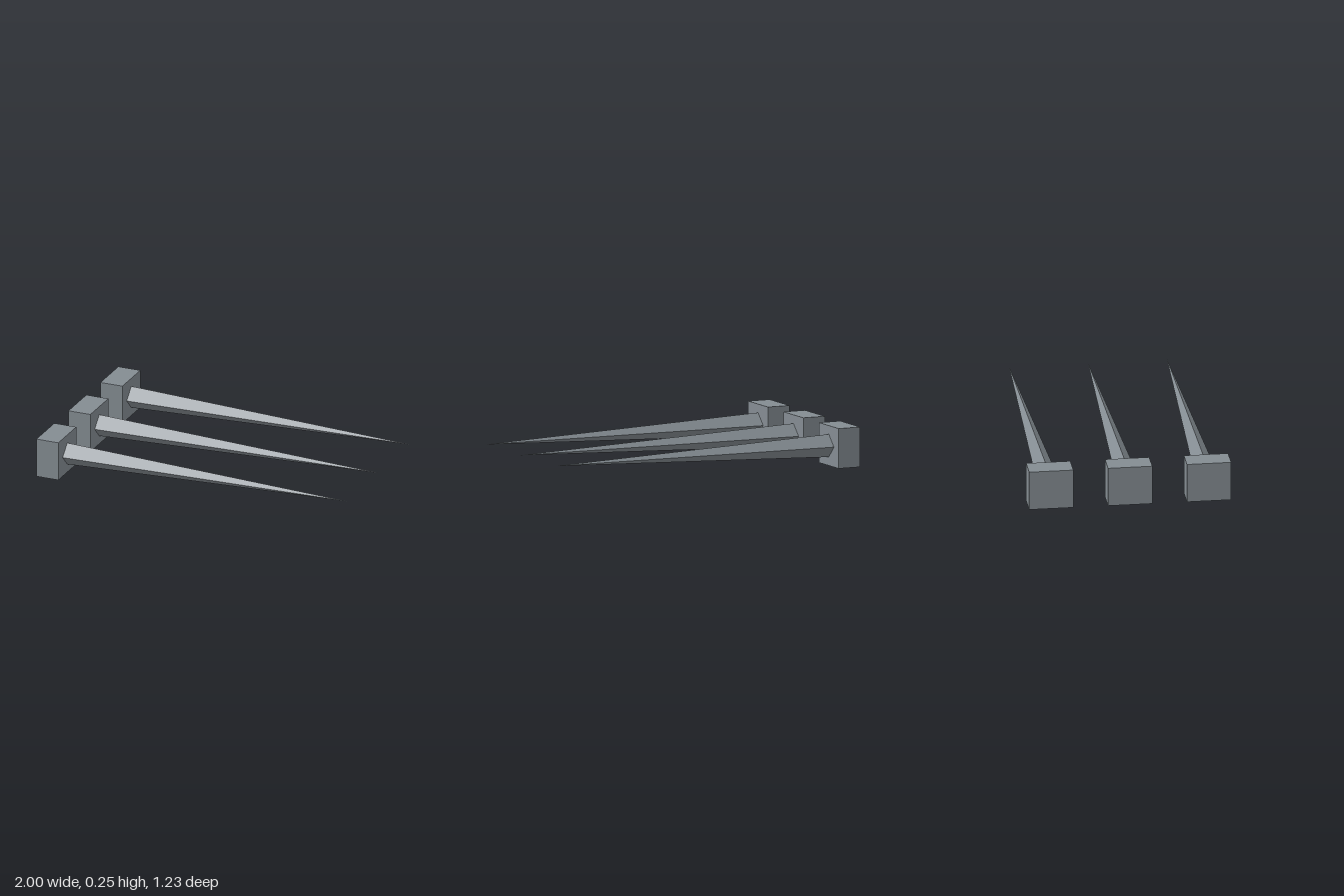
import * as THREE from 'three';

export function createModel() {
  const model = new THREE.Group();
  const steel = new THREE.MeshStandardMaterial({ color: 0x848c92, flatShading: true });
  steel.name = 'grey steel';

  const left = -1, face = -0.855, tip = 1, height = 0.245, width = 0.27;

  // mounting block
  const blockGeometry = new THREE.BoxGeometry(face - left, height, width);
  blockGeometry.translate((left + face) / 2, height / 2, 0);

  // four-sided spike, edges up, down, front and back, pointing along +x
  const spikeGeometry = new THREE.ConeGeometry(0.07, tip - face, 4);
  spikeGeometry.rotateZ(-Math.PI / 2);
  spikeGeometry.translate((face + tip) / 2, height / 2, 0);

  // three identical spikes side by side
  ['backSpike', 'middleSpike', 'frontSpike'].forEach((name, i) => {
    const unit = new THREE.Group();
    unit.name = name;
    const block = new THREE.Mesh(blockGeometry, steel);
    block.name = 'mountingBlock';
    const spike = new THREE.Mesh(spikeGeometry, steel);
    spike.name = 'spike';
    unit.add(block, spike);
    unit.position.z = (i - 1) * 0.482;
    model.add(unit);
  });

  return model;
}
